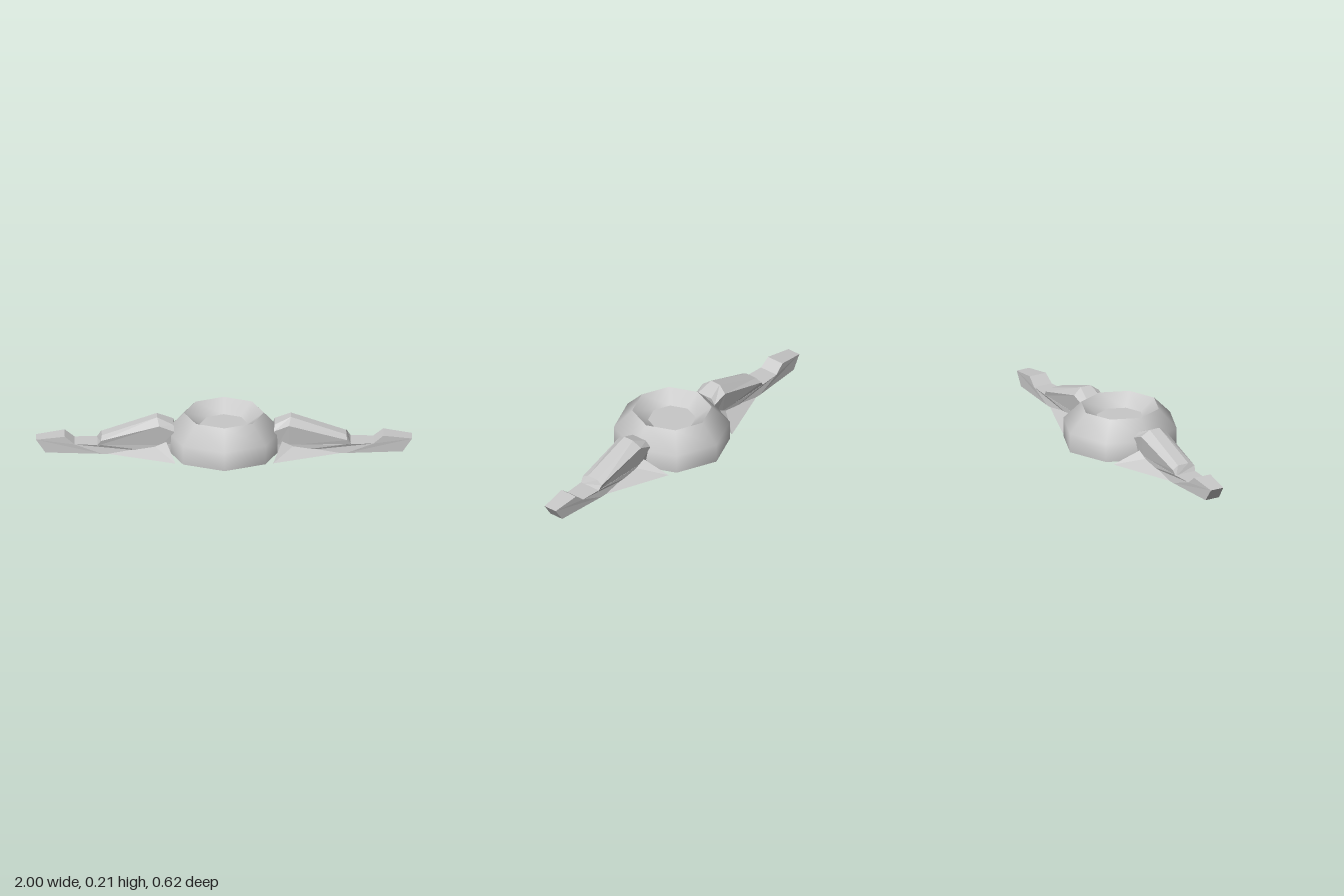
import * as THREE from 'three';
import { ConvexGeometry } from 'three/addons/geometries/ConvexGeometry.js';

const grey = new THREE.MeshStandardMaterial({ color: 0xc8c8c8 });
grey.name = 'plain grey';

function add(parent, name, geometry) {
  const mesh = new THREE.Mesh(geometry, grey);
  mesh.name = name;
  parent.add(mesh);
}

// Eight-sided surface of revolution, smooth within itself
const lathe = (...profile) =>
  new THREE.LatheGeometry(profile.map(([r, y]) => new THREE.Vector2(r, y)), 8);

// Flat-shaded skin over rings of points, closed at both ends
function loft(rings) {
  const pos = [];
  const tri = (...pts) => pts.forEach((p) => pos.push(...p));
  const n = rings[0].length;
  for (let i = 0; i < rings.length - 1; i++) {
    for (let j = 0; j < n; j++) {
      const k = (j + 1) % n;
      const [a, b, c, d] = [rings[i][j], rings[i][k], rings[i + 1][k], rings[i + 1][j]];
      tri(a, d, c);
      tri(a, c, b);
    }
  }
  const first = rings[0], last = rings[rings.length - 1];
  for (let j = 1; j < n - 1; j++) {
    tri(first[0], first[j], first[j + 1]);
    tri(last[0], last[j + 1], last[j]);
  }
  const g = new THREE.BufferGeometry();
  g.setAttribute('position', new THREE.Float32BufferAttribute(pos, 3));
  g.computeVertexNormals();
  return g;
}

// Low beam: side profile extruded, then narrowed towards the tip
function beamGeometry() {
  const outline = [[0.28, 0], [0.65, 0], [0.95, 0], [1, 0.072], [0.847, 0.094],
    [0.794, 0.051], [0.65, 0.051], [0.28, 0.051]];
  const shape = new THREE.Shape(outline.map(([x, y]) => new THREE.Vector2(x, y)));
  const g = new THREE.ExtrudeGeometry(shape, { depth: 2, bevelEnabled: false });
  const p = g.attributes.position;
  for (let i = 0; i < p.count; i++) {
    const half = Math.min(0.063, 0.038 + (1 - p.getX(i)) * 0.08);
    p.setZ(i, (p.getZ(i) - 1) * half);
  }
  g.computeVertexNormals();
  return g;
}

// Bevelled hump: half sections [x, y, z] from foot to top, mirrored across z
function humpGeometry() {
  const halves = [
    [[0.285, 0.045, 0.06], [0.265, 0.13, 0.073], [0.268, 0.158, 0.045]],
    [[0.34, 0.045, 0.062], [0.345, 0.163, 0.077], [0.356, 0.196, 0.03]],
    [[0.677, 0.045, 0.06], [0.655, 0.076, 0.067], [0.65, 0.094, 0.032]],
  ];
  return loft(halves.map((h) => [...h, ...[...h].reverse().map(([x, y, z]) => [x, y, -z])]));
}

// Side fin: two wedges meeting at a slightly hollow ridge
function addFin(arm, side) {
  const hull = (...pts) =>
    new ConvexGeometry(pts.map(([x, y, z]) => new THREE.Vector3(x, y, z * side)));
  const corner = [0.26, 0, 0.198], root = [0.31, 0, 0.058], ridge = [0.37, 0.042, 0.058];
  const fin = new THREE.Group();
  fin.name = side > 0 ? 'frontFin' : 'backFin';
  add(fin, 'finOuterWedge', hull(corner, root, ridge, [0.63, 0, 0.058]));
  add(fin, 'finInnerWedge', hull(corner, root, ridge, [0.31, 0.072, 0.058]));
  arm.add(fin);
}

export function createModel() {
  const model = new THREE.Group();
  model.name = 'hubWithTwoArms';

  // Hollow-topped hub
  const hub = new THREE.Group();
  hub.name = 'hub';
  add(hub, 'hubWall', lathe([0.31, 0.004], [0.31, 0.109], [0.212, 0.209]));
  add(hub, 'hubBowl', lathe([0.212, 0.209], [0.128, 0.145]));
  add(hub, 'hubBowlFloor', lathe([0.128, 0.145], [0, 0.145]));
  add(hub, 'hubBase', lathe([0, 0.004], [0.31, 0.004]));
  model.add(hub);

  // Two identical arms, one turned half round
  for (const name of ['leftArm', 'rightArm']) {
    const arm = new THREE.Group();
    arm.name = name;
    add(arm, 'beam', beamGeometry());
    add(arm, 'hump', humpGeometry());
    for (const side of [1, -1]) addFin(arm, side);
    if (name === 'rightArm') arm.rotation.y = Math.PI;
    model.add(arm);
  }
  return model;
}
